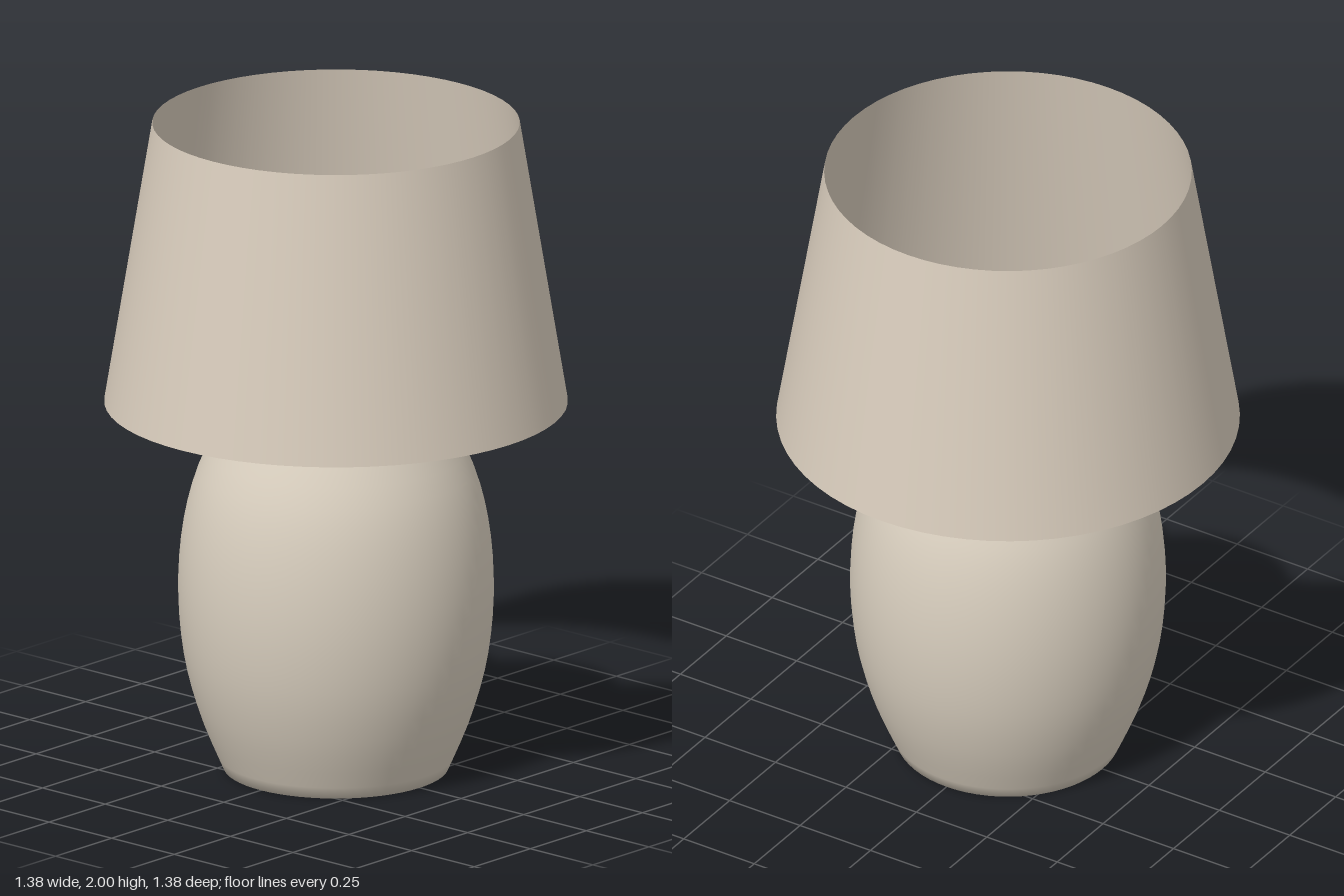
import * as THREE from 'three';

export function createModel() {
  const lamp = new THREE.Group();
  lamp.name = 'tableLamp';

  const material = (name, color, side = THREE.FrontSide) => {
    const m = new THREE.MeshStandardMaterial({ color, side });
    m.name = name;
    return m;
  };
  const ceramic = material('warm ceramic', 0xd8cebe);
  const linen = material('linen', 0xd8ccbc, THREE.DoubleSide);
  const brass = material('brass', 0xb8975a);

  const add = (name, geometry, mat, y = 0) => {
    const mesh = new THREE.Mesh(geometry, mat);
    mesh.name = name;
    mesh.position.y = y;
    lamp.add(mesh);
  };

  // Barrel-shaped base, closed at the bottom and top
  const side = new THREE.SplineCurve([
    [0.335, 0], [0.405, 0.17], [0.452, 0.35], [0.47, 0.55],
    [0.456, 0.75], [0.41, 0.93], [0.317, 1.12], [0.29, 1.17],
  ].map(([r, y]) => new THREE.Vector2(r, y))).getPoints(24);
  const profile = [new THREE.Vector2(0, 0), ...side, new THREE.Vector2(0, 1.17)];
  add('base', new THREE.LatheGeometry(profile, 64), ceramic);

  // Short stem above the base
  add('stem', new THREE.CylinderGeometry(0.043, 0.043, 0.3, 32), brass, 1.3);

  // Open tapered shade
  add('shade', new THREE.CylinderGeometry(0.547, 0.69, 0.865, 64, 1, true), linen, 1.5675);

  return lamp;
}
